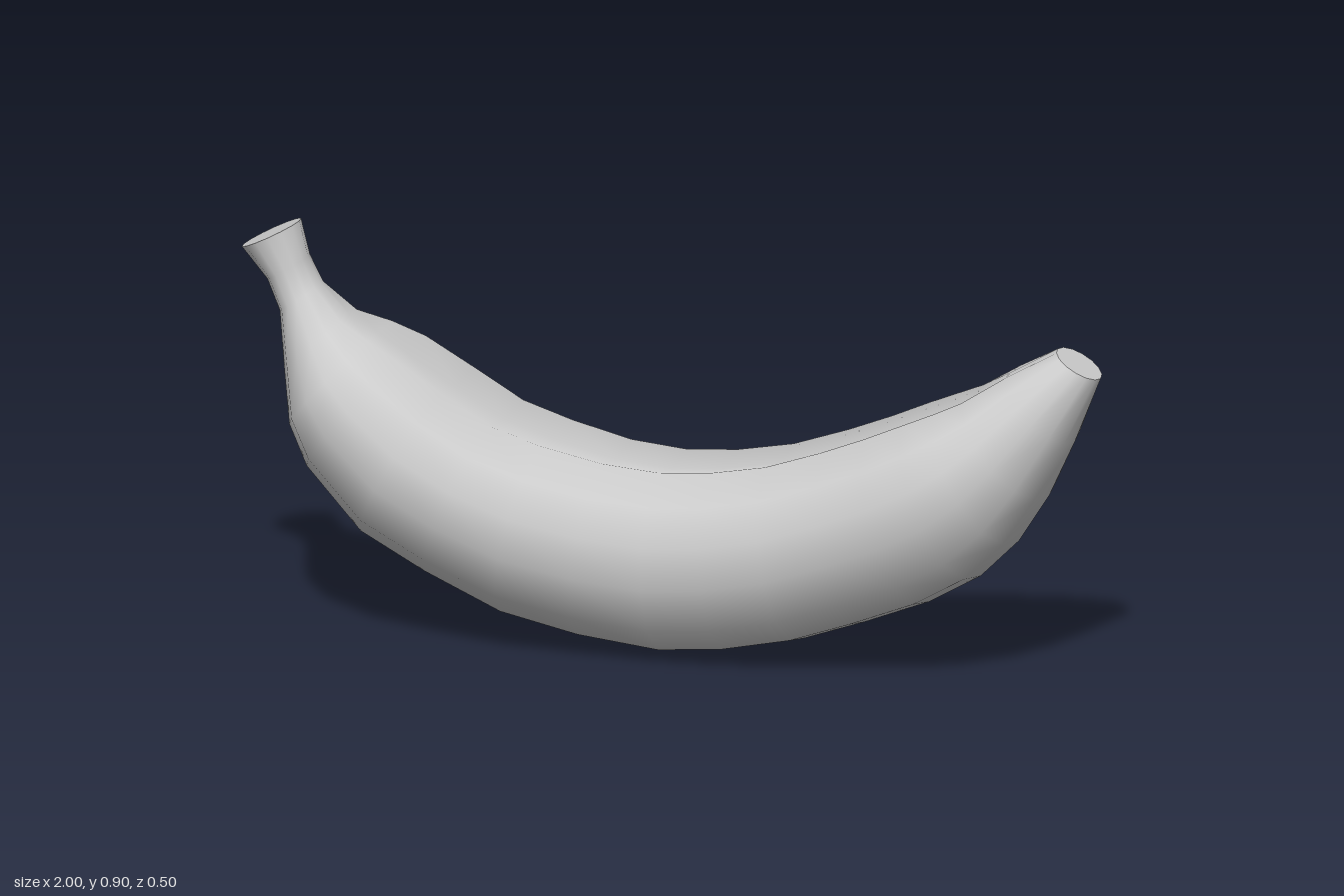
import * as THREE from 'three';

// Stations from stem to tip: outer-curve x, y, inner-curve x, y, half width, roundness
const STATIONS = [
  [-1.0, 0.84, -0.87, 0.905, 0.073, 1],
  [-0.94, 0.77, -0.85, 0.825, 0.063, 1],
  [-0.91, 0.70, -0.82, 0.765, 0.07, 1],
  [-0.895, 0.58, -0.75, 0.70, 0.125, 0.6],
  [-0.875, 0.45, -0.68, 0.67, 0.195, 0.2],
  [-0.83, 0.36, -0.61, 0.635, 0.235, 0],
  [-0.70, 0.22, -0.50, 0.57, 0.255, 0],
  [-0.55, 0.14, -0.385, 0.505, 0.253, 0],
  [-0.37, 0.06, -0.27, 0.47, 0.25, 0],
  [-0.19, 0.02, -0.13, 0.44, 0.232, 0],
  [0, 0, 0, 0.43, 0.225, 0],
  [0.15, 0.015, 0.12, 0.44, 0.225, 0],
  [0.31, 0.05, 0.25, 0.465, 0.225, 0],
  [0.45, 0.10, 0.38, 0.51, 0.225, 0],
  [0.60, 0.16, 0.48, 0.55, 0.225, 0],
  [0.72, 0.23, 0.57, 0.59, 0.225, 0],
  [0.81, 0.32, 0.64, 0.62, 0.21, 0],
  [0.88, 0.43, 0.70, 0.65, 0.178, 0.2],
  [0.94, 0.56, 0.79, 0.71, 0.13, 0.5],
  [1.0, 0.71, 0.90, 0.77, 0.057, 1],
];

// Half of the body section, from outer curve to the sunken inner curve: width, height
const HALF = [[0, -1], [0.44, -0.9], [0.79, -0.61], [0.99, -0.12], [0.98, 0.33], [0.8, 0.72], [0.45, 1], [0, 0.92]];
const SIDES = 14;

// One ring of the skin; roundness blends the body section into a circle
function ring([bx, by, tx, ty, width, round]) {
  const points = [];
  for (let j = 0; j < SIDES; j++) {
    const mirrored = j > SIDES / 2;
    const [w, h] = HALF[mirrored ? SIDES - j : j];
    const a = (j / SIDES) * Math.PI * 2;
    const u = THREE.MathUtils.lerp(mirrored ? -w : w, Math.sin(a), round);
    const v = (THREE.MathUtils.lerp(h, -Math.cos(a), round) + 1) / 2;
    points.push(new THREE.Vector3(bx + (tx - bx) * v, by + (ty - by) * v, u * width));
  }
  return points;
}

function makeMesh(name, points, index, material) {
  const geometry = new THREE.BufferGeometry().setFromPoints(points);
  geometry.setIndex(index);
  geometry.computeVertexNormals();
  const mesh = new THREE.Mesh(geometry, material);
  mesh.name = name;
  return mesh;
}

// Flat end face with its own vertices, so the rim stays sharp
function makeCap(name, points, flip, material) {
  const index = [];
  for (let j = 1; j < SIDES - 1; j++) index.push(0, flip ? j + 1 : j, flip ? j : j + 1);
  return makeMesh(name, points, index, material);
}

export function createModel() {
  const group = new THREE.Group();
  group.name = 'banana';
  const material = new THREE.MeshStandardMaterial({ color: 0xcccccc });
  const rings = STATIONS.map(ring);

  // Smooth skin lofted through the rings
  const index = [];
  for (let i = 0; i < rings.length - 1; i++) {
    for (let j = 0; j < SIDES; j++) {
      const k = (j + 1) % SIDES;
      const a = i * SIDES + j, b = a + SIDES, c = i * SIDES + k, d = c + SIDES;
      index.push(a, b, c, b, d, c);
    }
  }
  group.add(makeMesh('peel', rings.flat(), index, material));

  // Cut ends
  group.add(makeCap('stemEnd', rings[0], false, material));
  group.add(makeCap('tipEnd', rings[rings.length - 1], true, material));
  return group;
}
